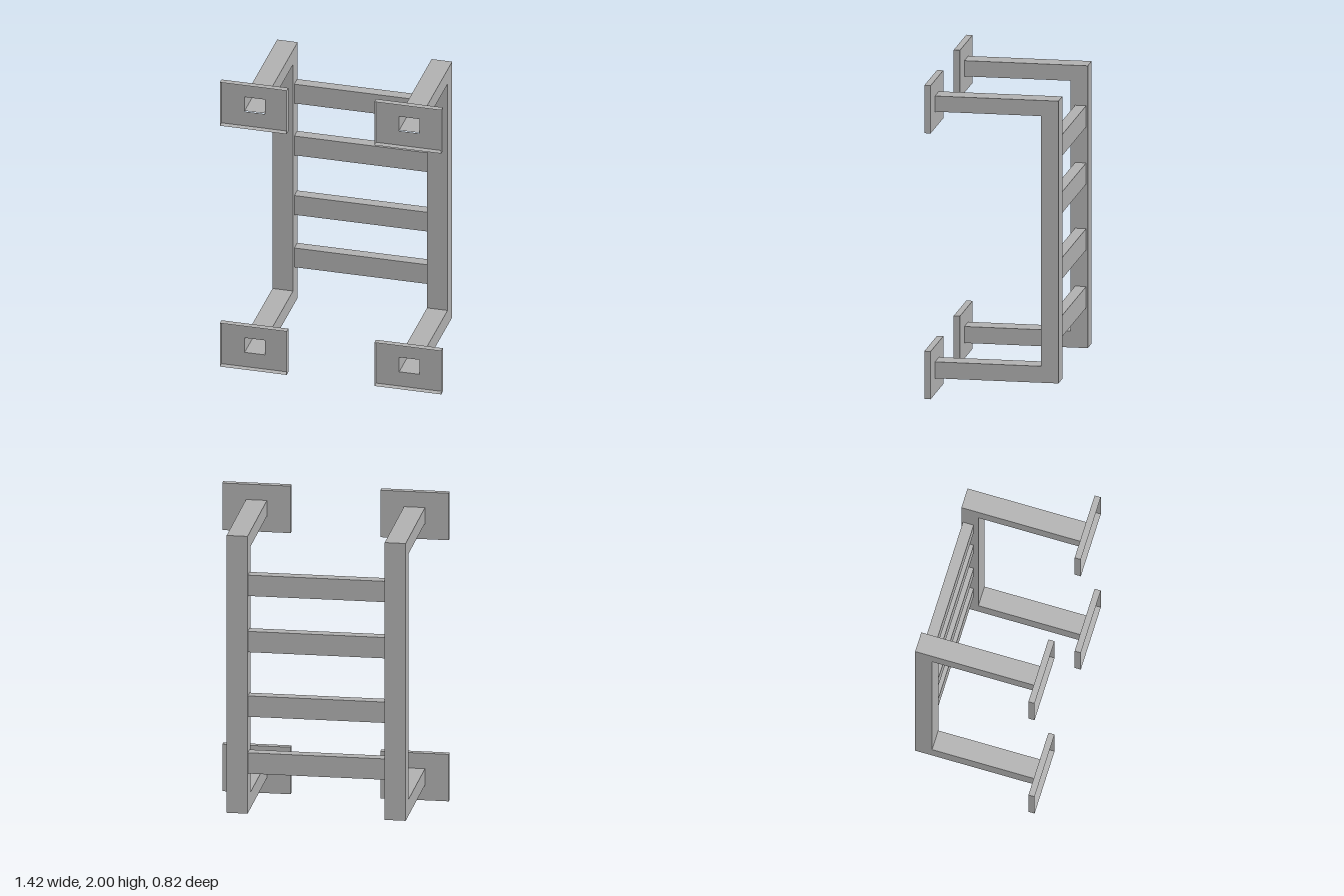
import * as THREE from 'three';

// Skin between successive four-cornered loops, with flat faces and open ends
function loft(loops) {
  const pos = [];
  for (let i = 0; i < loops.length - 1; i++) {
    for (let j = 0; j < 4; j++) {
      const k = (j + 1) % 4;
      const a = loops[i][j], b = loops[i][k], c = loops[i + 1][k], d = loops[i + 1][j];
      pos.push(...a, ...d, ...c, ...a, ...c, ...b);
    }
  }
  const g = new THREE.BufferGeometry();
  g.setAttribute('position', new THREE.Float32BufferAttribute(pos, 3));
  g.computeVertexNormals();
  return g;
}

// Rectangle in the xy plane at depth z
const rect = (x0, x1, y0, y1, z) => [[x0, y0, z], [x1, y0, z], [x1, y1, z], [x0, y1, z]];

export function createModel() {
  const model = new THREE.Group();
  model.name = 'wallLadder';
  const metal = new THREE.MeshStandardMaterial({ color: 0xb4b4b4, side: THREE.DoubleSide });
  metal.name = 'greyMetal';

  const add = (name, geometry, x = 0, y = 0, z = 0) => {
    const mesh = new THREE.Mesh(geometry, metal);
    mesh.name = name;
    mesh.position.set(x, y, z);
    model.add(mesh);
  };

  const w = 0.066;       // half width of the tube
  const px = 0.215;      // half width of a wall plate
  const plateZ = 0.37, frontZ = 0.41;

  // Hollow U-shaped rail: outer and inner corners (y, z) along its path
  const path = [
    [[0.10, plateZ], [0.205, plateZ]],
    [[0.10, -0.41], [0.205, -0.30]],
    [[1.90, -0.41], [1.80, -0.30]],
    [[1.90, plateZ], [1.80, plateZ]],
  ];
  const rail = loft(path.map(([o, n]) => [[-w, ...o], [w, ...o], [w, ...n], [-w, ...n]]));

  // Open-fronted mounting plate: rim, then back panel around the tube opening
  const plate = loft([
    rect(-px, px, -0.1525, 0.1525, frontZ),
    rect(-px, px, -0.1525, 0.1525, plateZ),
    rect(-w, w, -0.0525, 0.0495, plateZ),
  ]);

  for (const [side, x] of [['left', 0.497], ['right', -0.497]]) {
    add(side + 'Rail', rail, x);
    add(side + 'LowerPlate', plate, x, 0.1525);
    add(side + 'UpperPlate', plate, x, 1.8475);
  }

  // Rungs between the rails
  const rung = new THREE.BoxGeometry(0.865, 0.135, 0.07);
  [0.425, 0.794, 1.213, 1.578].forEach((y, i) => add('rung' + (i + 1), rung, 0, y, -0.365));

  return model;
}
